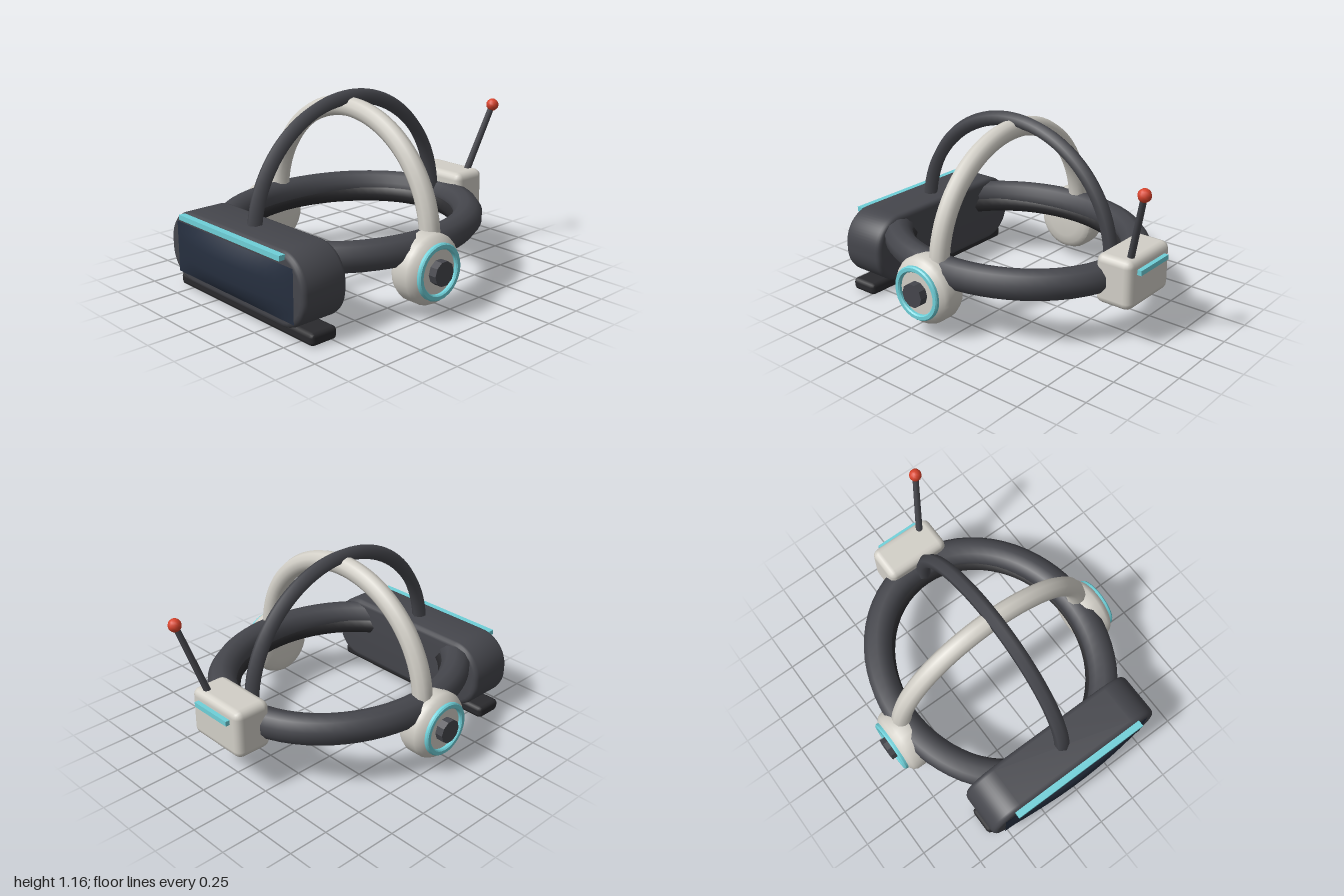
import * as THREE from 'three';
import { toCreasedNormals } from 'three/addons/utils/BufferGeometryUtils.js';
import { RoundedBoxGeometry } from 'three/addons/geometries/RoundedBoxGeometry.js';

const mat = (color, extra = {}) => new THREE.MeshStandardMaterial({ color, ...extra });

export function createModel() {
  const group = new THREE.Group();
  const dark = mat(0x45464c);
  const black = mat(0x2a2a2d);
  const pale = mat(0xd2cfc7);
  const cyan = mat(0x6fd0d9);
  const red = mat(0xd8432c);
  const glass = mat(0x262f3f, { side: THREE.DoubleSide });

  const add = (name, geometry, material, x = 0, y = 0, z = 0, parent = group) => {
    const mesh = new THREE.Mesh(geometry, material);
    mesh.name = name;
    mesh.position.set(x, y, z);
    parent.add(mesh);
    return mesh;
  };

  // Closed oval tube lying flat
  const ovalTube = (rx, rz, radius, sides) => {
    const points = Array.from({ length: 32 }, (_, i) => {
      const a = (i / 32) * Math.PI * 2;
      return new THREE.Vector3(Math.cos(a) * rx, 0, Math.sin(a) * rz);
    });
    const curve = new THREE.CatmullRomCurve3(points, true);
    return new THREE.TubeGeometry(curve, 64, radius, sides, true);
  };

  // Visor: pill-like front outline pushed back, with soft rims
  const bevel = 0.03, w = 0.61 - bevel, h = 0.215 - bevel, r = 0.165;
  const outline = new THREE.Shape();
  outline.absarc(w - r, h - r, r, 0, Math.PI / 2);
  outline.absarc(r - w, h - r, r, Math.PI / 2, Math.PI);
  outline.absarc(r - w, r - h, r, Math.PI, Math.PI * 1.5);
  outline.absarc(w - r, r - h, r, Math.PI * 1.5, Math.PI * 2);
  const visor = new THREE.ExtrudeGeometry(outline, {
    depth: 0.24, bevelThickness: bevel, bevelSize: bevel, bevelSegments: 3, curveSegments: 8,
  });
  add('visor', toCreasedNormals(visor, 0.7), dark, 0, 0.285, 0.68);

  // Screen: a sheet bulging forward in the middle
  const screen = new THREE.PlaneGeometry(1.06, 0.31, 16, 6);
  const p = screen.attributes.position;
  for (let i = 0; i < p.count; i++) {
    const u = p.getX(i) / 0.53, v = p.getY(i) / 0.155;
    p.setZ(i, 0.045 * (1 - u * u) * (1 - v ** 4));
  }
  screen.computeVertexNormals();
  add('screen', screen, glass, 0, 0.275, 0.953);

  add('visorLight', new THREE.BoxGeometry(0.92, 0.03, 0.04), cyan, 0, 0.474, 0.965);
  add('lowerRail', new RoundedBoxGeometry(1.22, 0.075, 0.18, 1, 0.025), black, 0, 0.0375, 0.81);

  // Head band with its inner padding
  add('headBand', ovalTube(0.65, 0.77, 0.09, 10), dark, 0, 0.39, 0.08);
  add('bandPadding', ovalTube(0.615, 0.715, 0.06, 8), black, 0, 0.342, 0.08);

  // Straps over the head
  add('sideArch', new THREE.TorusGeometry(0.665, 0.06, 10, 48, Math.PI), pale, 0, 0.4, 0.088);
  const strap = add('topStrap', new THREE.TorusGeometry(0.71, 0.045, 6, 48, Math.PI), dark, 0, 0.41, 0.085);
  strap.rotation.y = Math.PI / 2;

  // Ear pods, turned about the side axis
  const podProfile = [
    [0, 0.59], [0.11, 0.592], [0.16, 0.6], [0.19, 0.618], [0.205, 0.65], [0.205, 0.74],
    [0.192, 0.765], [0.165, 0.785], [0, 0.785],
  ].map(([a, b]) => new THREE.Vector2(a, b));
  const ringProfile = [
    [0.13, 0.78], [0.165, 0.78], [0.165, 0.8], [0.158, 0.808], [0.137, 0.808], [0.13, 0.8], [0.13, 0.78],
  ].map(([a, b]) => new THREE.Vector2(a, b));
  const podGeo = toCreasedNormals(new THREE.LatheGeometry(podProfile, 28), 0.6);
  const ringGeo = toCreasedNormals(new THREE.LatheGeometry(ringProfile, 28), 0.6);
  const hubGeo = toCreasedNormals(new THREE.CylinderGeometry(0.073, 0.073, 0.06, 10), 0.4);
  for (const side of [1, -1]) {
    const pod = new THREE.Group();
    pod.name = side > 0 ? 'leftEarPod' : 'rightEarPod';
    pod.position.set(0, 0.275, 0.147);
    pod.rotation.z = -side * Math.PI / 2;
    group.add(pod);
    add('podShell', podGeo, pale, 0, 0, 0, pod);
    add('podRing', ringGeo, cyan, 0, 0, 0, pod);
    add('podHub', hubGeo, dark, 0, 0.805, 0, pod);
  }

  // Rear battery box
  add('rearBox', new RoundedBoxGeometry(0.42, 0.3, 0.235, 2, 0.045), pale, 0, 0.397, -0.775);
  add('rearLight', new THREE.BoxGeometry(0.28, 0.03, 0.035), cyan, 0, 0.474, -0.902);

  // Antenna leaning back to the left
  const base = new THREE.Vector3(0.12, 0.52, -0.832);
  const tip = new THREE.Vector3(0.213, 0.96, -0.96);
  const direction = tip.clone().sub(base);
  const rod = add('antennaRod', new THREE.CylinderGeometry(0.019, 0.022, direction.length(), 8), dark);
  rod.position.copy(base).add(tip).multiplyScalar(0.5);
  rod.quaternion.setFromUnitVectors(new THREE.Vector3(0, 1, 0), direction.normalize());
  add('antennaTip', new THREE.SphereGeometry(0.039, 10, 8), red, tip.x, tip.y, tip.z);

  return group;
}
